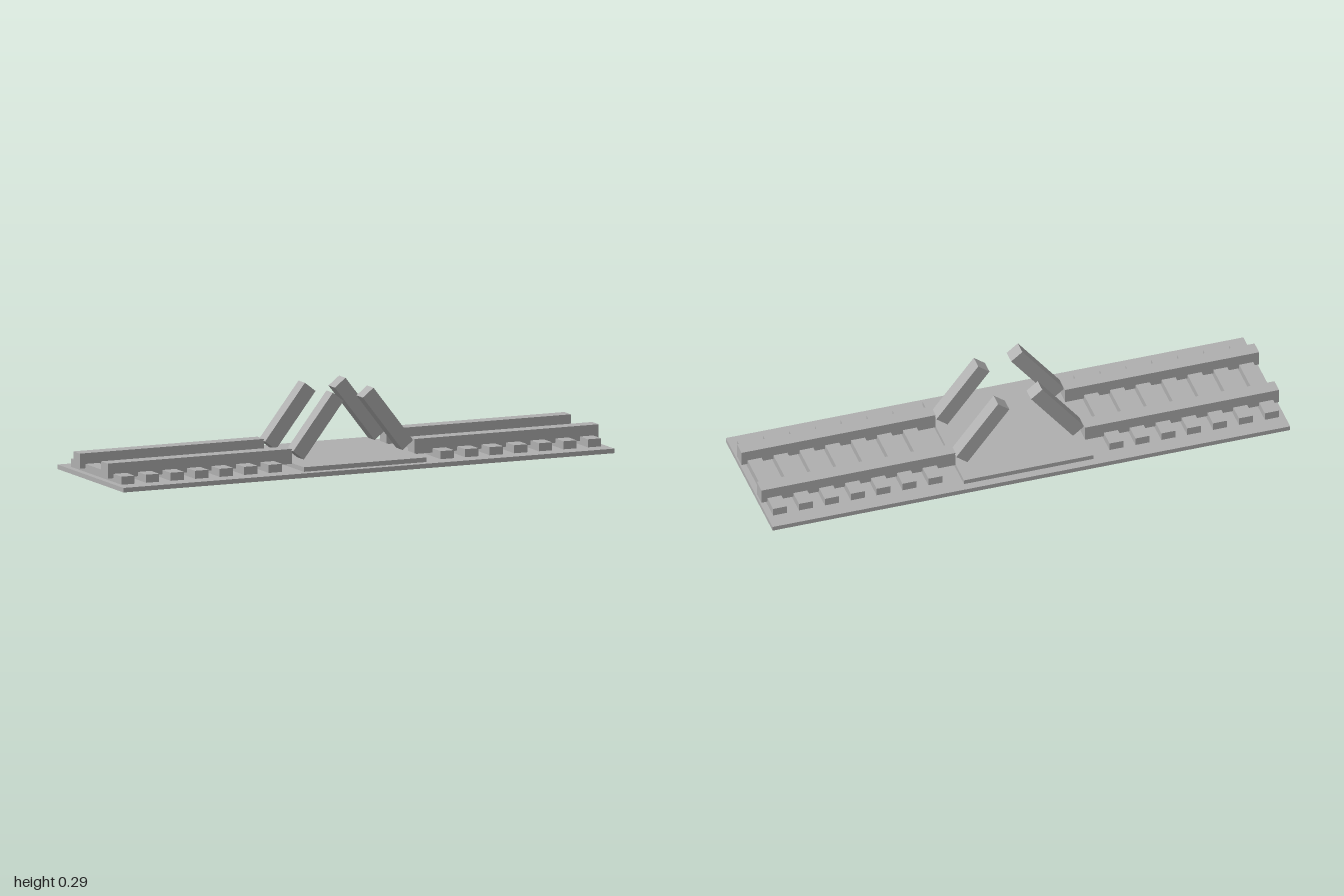
import * as THREE from 'three';

export function createModel() {
  const model = new THREE.Group();
  const grey = new THREE.MeshStandardMaterial({ color: 0xb0b0b0 });
  grey.name = 'plain grey';

  // Box placed by its centre
  function box(parent, name, size, pos) {
    const mesh = new THREE.Mesh(new THREE.BoxGeometry(...size), grey);
    mesh.name = name;
    mesh.position.set(...pos);
    parent.add(mesh);
    return mesh;
  }

  // Track bed and the plate over the gap
  box(model, 'trackBed', [2, 0.017, 0.566], [0, 0.0085, 0]);
  box(model, 'centrePlate', [0.5, 0.017, 0.5], [0, 0.0255, 0]);

  // One half of the track; the other is the same half turned round
  for (const turn of [0, Math.PI]) {
    const half = new THREE.Group();
    half.name = turn ? 'leftTrack' : 'rightTrack';
    half.rotation.y = turn;
    model.add(half);

    // Sleepers
    for (let i = 0; i < 7; i++) {
      box(half, 'sleeper', [0.054, 0.03, 0.434], [-0.95 + i * 0.1, 0.032, 0]);
    }

    // Straight rails
    for (const z of [-0.12, 0.12]) {
      box(half, 'rail', [0.75, 0.056, 0.056], [-0.625, 0.059, z]);
    }

    // Broken rail ends bent upwards
    for (const z of [-0.103, 0.137]) {
      const bent = box(half, 'bentRail', [0.263, 0.055, 0.055], [-0.15, 0.167, z]);
      bent.rotation.z = THREE.MathUtils.degToRad(52);
    }
  }
  return model;
}
